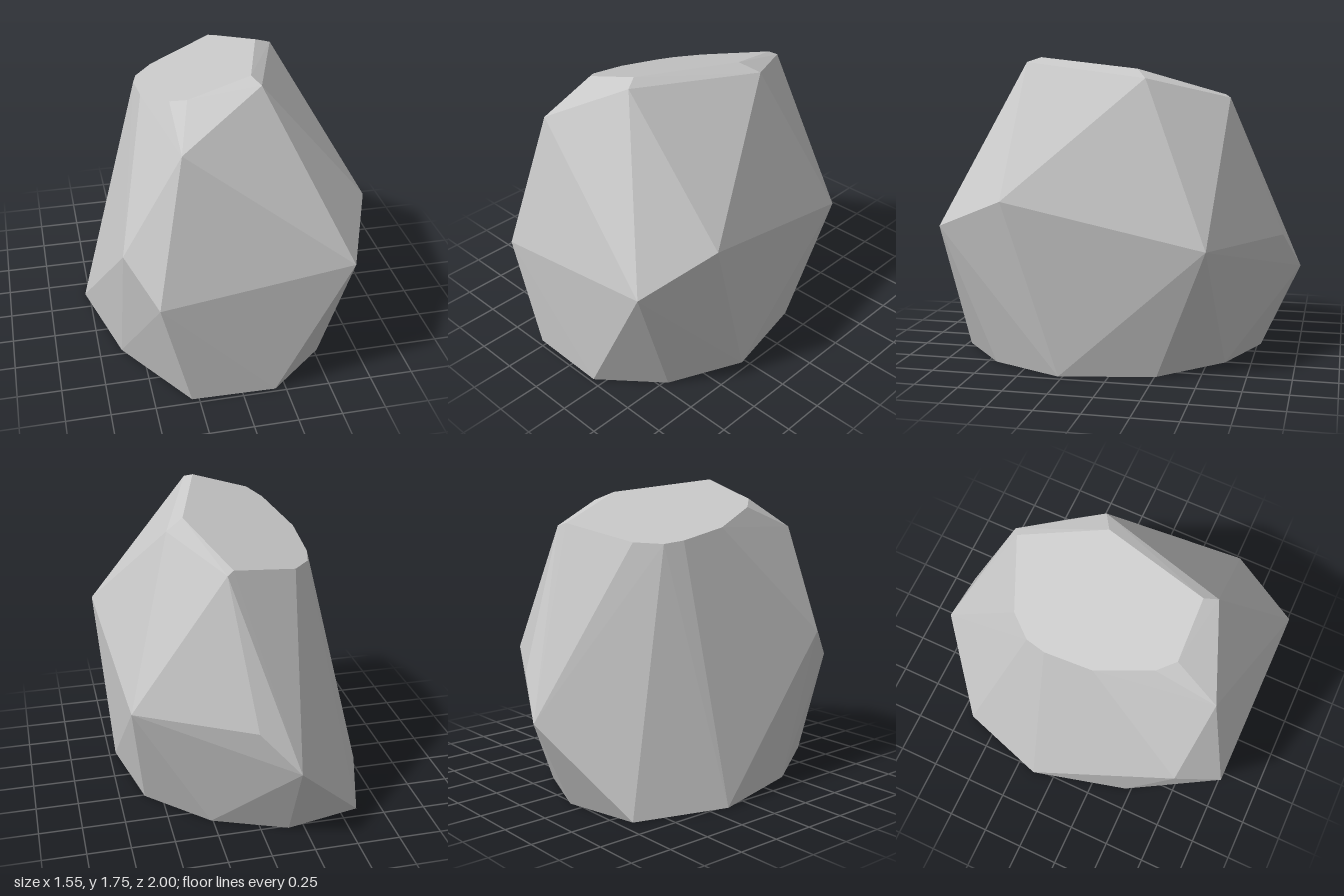
import * as THREE from 'three';
import { ConvexGeometry } from 'three/addons/geometries/ConvexGeometry.js';

// Faceted boulder: corner rings from the ground up, wrapped in a convex skin.
export function createModel() {
  const stone = new THREE.MeshStandardMaterial({ color: 0xc8c8c8 });
  stone.name = 'paleStone';

  // flat underside outline: x, z at y = 0
  const base = [
    [0.19, 0.98], [0.52, 0.70], [0.71, 0.275], [0.60, -0.26], [0.26, -0.60],
    [-0.16, -0.77], [-0.605, -0.675], [-0.777, -0.135], [-0.62, 0.465], [-0.29, 0.97],
  ];
  // widest corners around the middle: x, y, z
  const belly = [
    [-0.46, 0.66, 1.0], [0.605, 0.805, 0.995], [0.775, 0.98, 0.575], [0.69, 0.73, -0.54],
    [0.055, 0.73, -0.905], [-0.16, 0.505, -1.0], [-0.615, 0.86, 0.75],
  ];
  // shoulder corners just below the cap: x, y, z
  const shoulder = [
    [0.16, 1.722, 0.605], [-0.30, 1.468, 0.81], [0.405, 1.638, -0.155], [0.16, 1.525, -0.60],
  ];
  // slanted cap outline: x, z lying on one tilted plane
  const cap = [
    [0.12, 0.53], [0.30, -0.09], [0.12, -0.57], [-0.27, -0.40], [-0.38, -0.27],
    [-0.41, -0.15], [-0.41, 0.14], [-0.30, 0.45], [-0.22, 0.54],
  ];
  const capHeight = (x, z) => 1.75 + 0.31 * (x - 0.12) + 0.19 * (z - 0.53);

  const points = [
    ...base.map(([x, z]) => new THREE.Vector3(x, 0, z)),
    ...belly.map((p) => new THREE.Vector3(...p)),
    ...shoulder.map((p) => new THREE.Vector3(...p)),
    ...cap.map(([x, z]) => new THREE.Vector3(x, capHeight(x, z), z)),
  ];

  const boulder = new THREE.Mesh(new ConvexGeometry(points), stone);
  boulder.name = 'boulder';

  const group = new THREE.Group();
  group.name = 'rock';
  group.add(boulder);
  return group;
}
